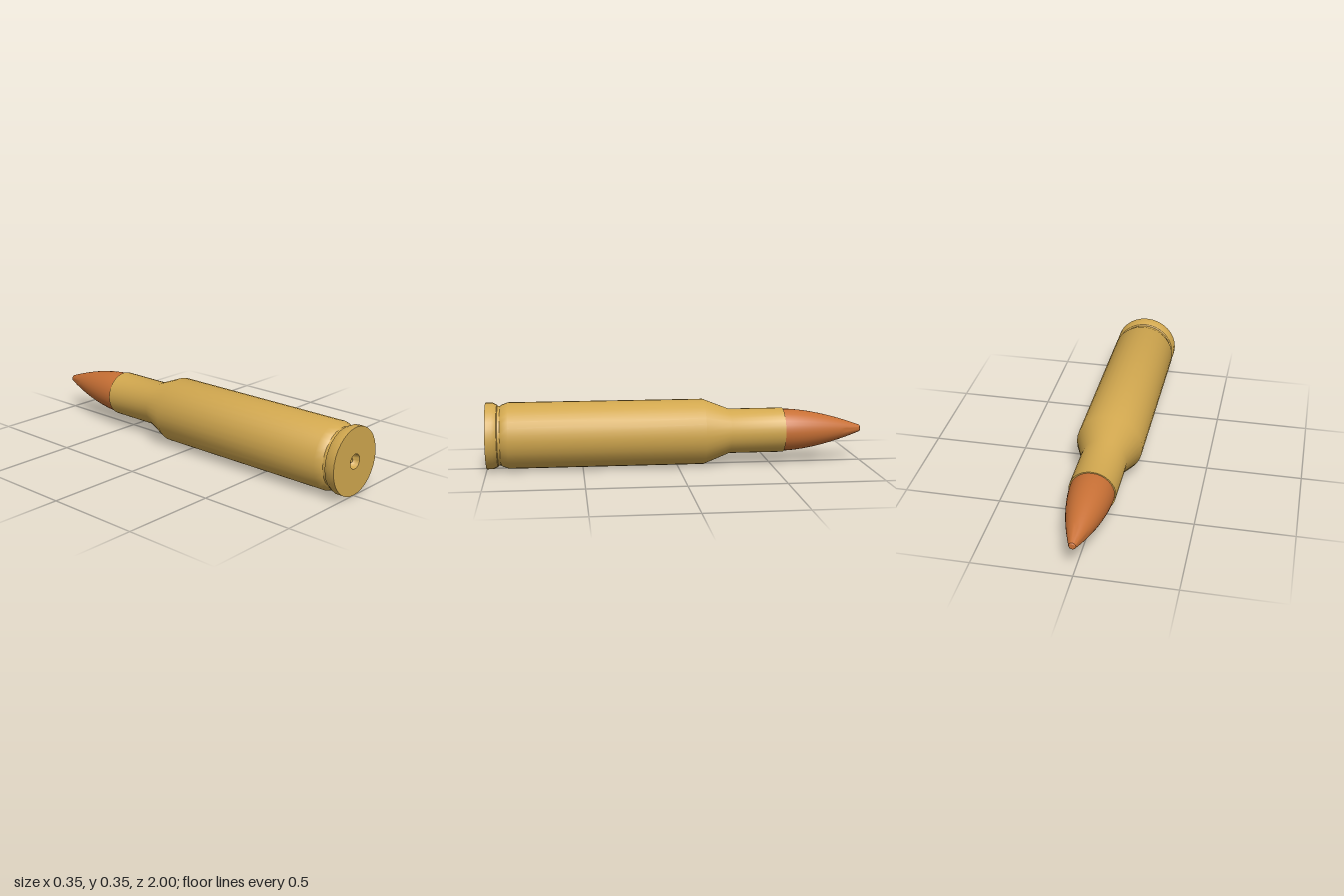
import * as THREE from 'three';
import { toCreasedNormals } from 'three/addons/utils/BufferGeometryUtils.js';

const CENTRE_Y = 0.175;
const SIDES = 32;

// Turn a [radius, z] profile around the long axis, running from +z to -z
function turned(name, profile, color) {
  const points = profile.map(([r, z]) => new THREE.Vector2(r, -z));
  const geometry = new THREE.LatheGeometry(points, SIDES);
  geometry.rotateX(-Math.PI / 2);
  const mesh = new THREE.Mesh(
    toCreasedNormals(geometry, 0.5),
    new THREE.MeshStandardMaterial({ color, side: THREE.DoubleSide })
  );
  mesh.name = name;
  mesh.position.y = CENTRE_Y;
  return mesh;
}

export function createModel() {
  const group = new THREE.Group();
  group.name = 'cartridge';
  const brass = 0xd2a84f;
  const copper = 0xc87035;

  // Domed primer sunk in the base
  group.add(turned('primer', [
    [0, 0.983], [0.009, 0.981], [0.016, 0.974], [0.019, 0.966],
    [0.025, 0.965], [0.031, 0.972], [0.035, 0.985], [0.038, 1],
  ], brass));

  // Case: base, rim, extractor groove, body, shoulder, neck and mouth
  group.add(turned('case', [
    [0.038, 1], [0.174, 1], [0.174, 0.965], [0.163, 0.942], [0.156, 0.938],
    [0.156, 0.925], [0.161, 0.92], [0.174, 0.885],
    [0.174, -0.14], [0.119, -0.28], [0.119, -0.57], [0.108, -0.57],
  ], brass));

  // Bullet: curved ogive ending in a small blunt tip
  const ogive = [[0.113, -0.55]];
  for (let i = 0; i <= 12; i++) {
    const t = i / 12;
    ogive.push([0.113 - 0.091 * Math.pow(t, 1.7), -0.57 - 0.415 * t]);
  }
  ogive.push([0.018, -0.996], [0.012, -1], [0, -1]);
  group.add(turned('bullet', ogive, copper));

  return group;
}
